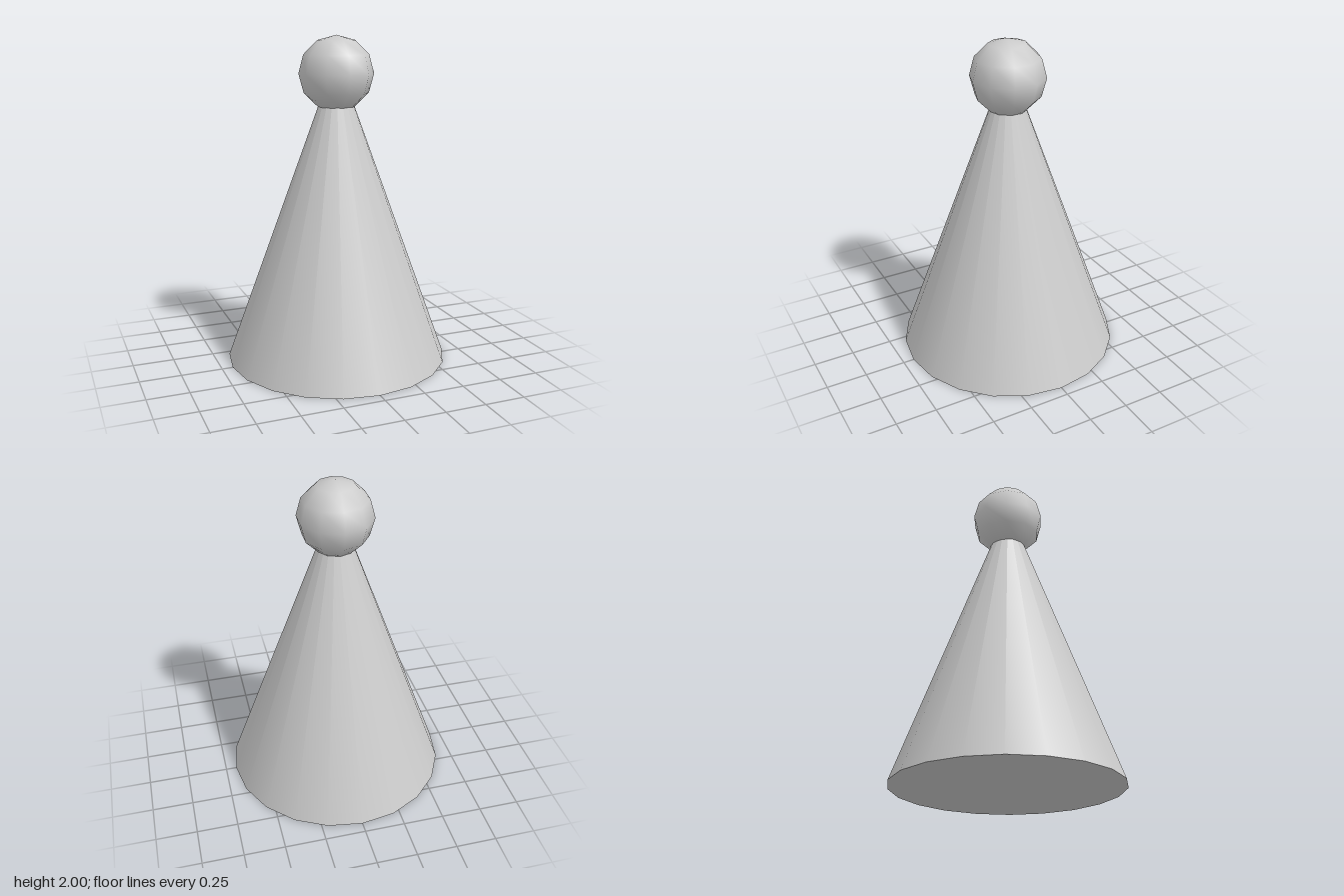
import * as THREE from 'three';

export function createModel() {
  const group = new THREE.Group();
  const material = new THREE.MeshStandardMaterial({ color: 0xcccccc });

  const add = (name, geometry, y) => {
    const mesh = new THREE.Mesh(geometry, material);
    mesh.name = name;
    mesh.position.y = y;
    group.add(mesh);
    return mesh;
  };

  // Tall 20-sided cone with a closed base; its tip is hidden inside the ball
  const coneHeight = 1.88;
  add('coneBody', new THREE.ConeGeometry(0.684, coneHeight, 20), coneHeight / 2);

  // Low-poly smooth ball on top, with corners facing front and back
  const ballRadius = 0.227;
  const ball = add('ballTop', new THREE.SphereGeometry(ballRadius, 10, 6), 2 - ballRadius);
  ball.rotation.y = Math.PI / 2;

  return group;
}
